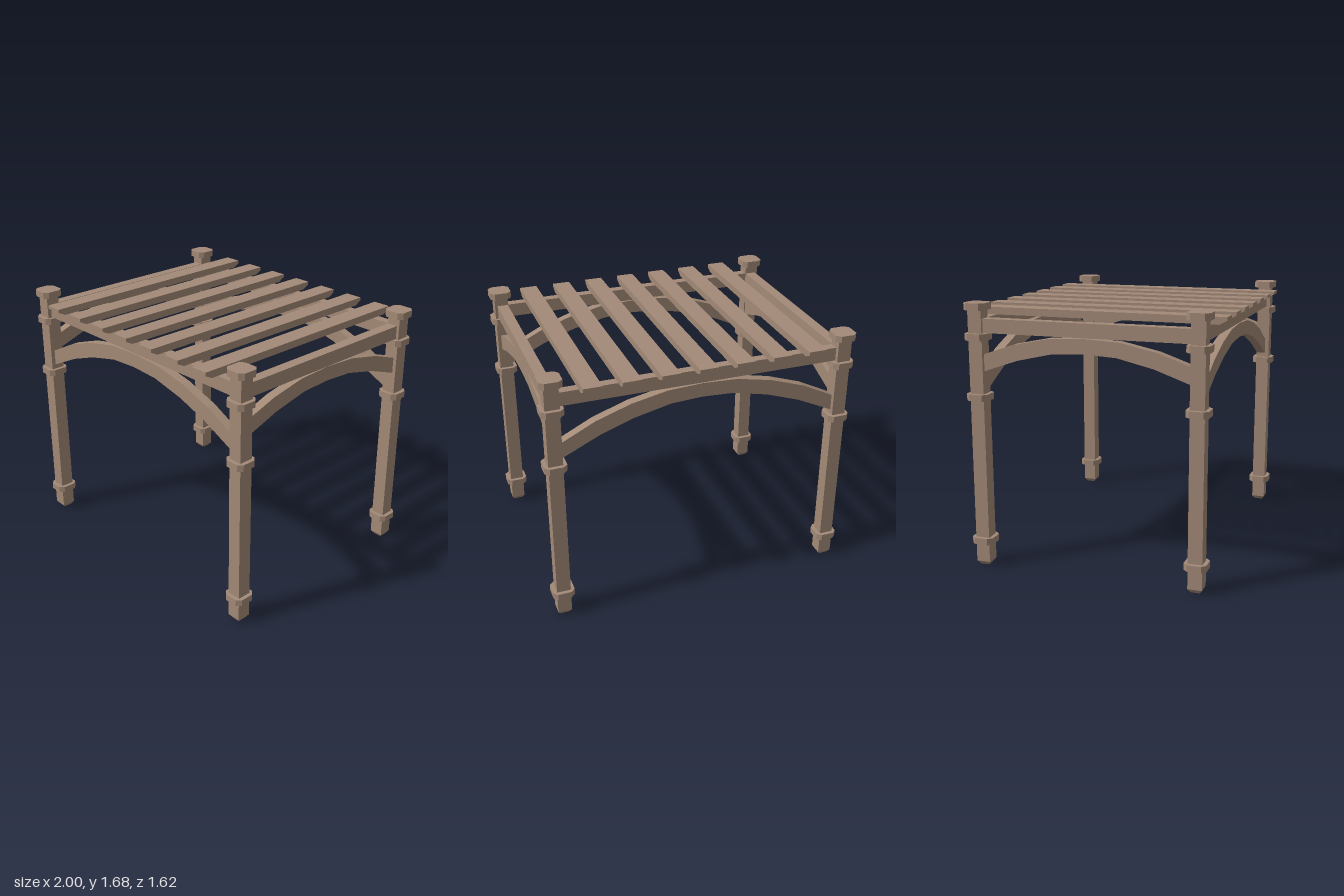
import * as THREE from 'three';

const wood = new THREE.MeshStandardMaterial({ color: 0xa38a77 });
wood.name = 'weathered wood';

const POST_X = 0.93, POST_Z = 0.698;

function add(parent, name, geometry, x = 0, y = 0, z = 0) {
  const mesh = new THREE.Mesh(geometry, wood);
  mesh.name = name;
  mesh.position.set(x, y, z);
  parent.add(mesh);
  return mesh;
}

function polygon(points) {
  return new THREE.Shape(points.map(([x, y]) => new THREE.Vector2(x, y)));
}

// Extrusion centred on its depth
function slab(shape, depth) {
  return new THREE.ExtrudeGeometry(shape, { depth, bevelEnabled: false }).translate(0, 0, -depth / 2);
}

// Square block with cut corners, standing upright
function collarGeometry(height) {
  const a = 0.07, b = 0.043;
  const shape = polygon([[a, -b], [a, b], [b, a], [-b, a], [-a, b], [-a, -b], [-b, -a], [b, -a]]);
  return slab(shape, height).rotateX(-Math.PI / 2);
}

// Square shaft with a narrowed foot
function makePost(x, z) {
  const post = new THREE.Group();
  post.name = 'post';
  post.position.set(x, 0, z);
  add(post, 'shaft', new THREE.BoxGeometry(0.09, 1.625, 0.09), 0, 0.8375, 0);
  const foot = new THREE.CylinderGeometry(0.045 * Math.SQRT2, 0.027 * Math.SQRT2, 0.025, 4, 1)
    .rotateY(Math.PI / 4).toNonIndexed();
  foot.computeVertexNormals();
  add(post, 'foot', foot, 0, 0.0125, 0);
  for (const y of [0.167, 1.098, 1.472]) add(post, 'collar', collarGeometry(0.042), 0, y, 0);
  add(post, 'cap', collarGeometry(0.043), 0, 1.657, 0);
  return post;
}

// Curved brace, cut off inside the posts at the given half span
function archGeometry(half) {
  const upper = [[0, 1.492], [0.225, 1.481], [0.455, 1.433], [0.674, 1.358], [0.93, 1.23]];
  const lower = [[0, 1.401], [0.203, 1.39], [0.433, 1.337], [0.647, 1.262], [0.93, 1.128]];
  const clip = (line) => {
    const i = line.findIndex(([x]) => x >= half);
    const [p, q] = [line[i - 1], line[i]];
    const t = (half - p[0]) / (q[0] - p[0]);
    return [...line.slice(0, i), [half, p[1] + t * (q[1] - p[1])]];
  };
  const mirror = (line) => [...line.slice(1).reverse().map(([x, y]) => [-x, y]), ...line];
  return slab(polygon([...mirror(clip(lower)), ...mirror(clip(upper)).reverse()]), 0.06);
}

export function createModel() {
  const pergola = new THREE.Group();
  pergola.name = 'pergola';

  for (const sx of [-1, 1]) {
    for (const sz of [-1, 1]) pergola.add(makePost(sx * POST_X, sz * POST_Z));
  }

  // Beams and arched braces on all four sides
  for (const s of [-1, 1]) {
    add(pergola, 'longBeam', new THREE.BoxGeometry(1.86, 0.087, 0.06), 0, 1.54, s * 0.686);
    add(pergola, 'longArch', archGeometry(0.925), 0, 0, s * 0.686);
    add(pergola, 'sideBeam', new THREE.BoxGeometry(0.07, 0.087, 1.39), s * 0.922, 1.54, 0);
    add(pergola, 'sideArch', archGeometry(0.69), s * 0.922, 0, 0).rotation.y = Math.PI / 2;
  }

  // Roof slats with undercut ends
  const profile = polygon([
    [-0.765, 1.585], [0.765, 1.585], [0.812, 1.61], [0.812, 1.631], [-0.812, 1.631], [-0.812, 1.61],
  ]);
  for (let i = -3; i <= 3; i++) {
    add(pergola, 'roofSlat', slab(profile, 0.116).rotateY(Math.PI / 2), i * 0.2355, 0, 0);
  }
  return pergola;
}
